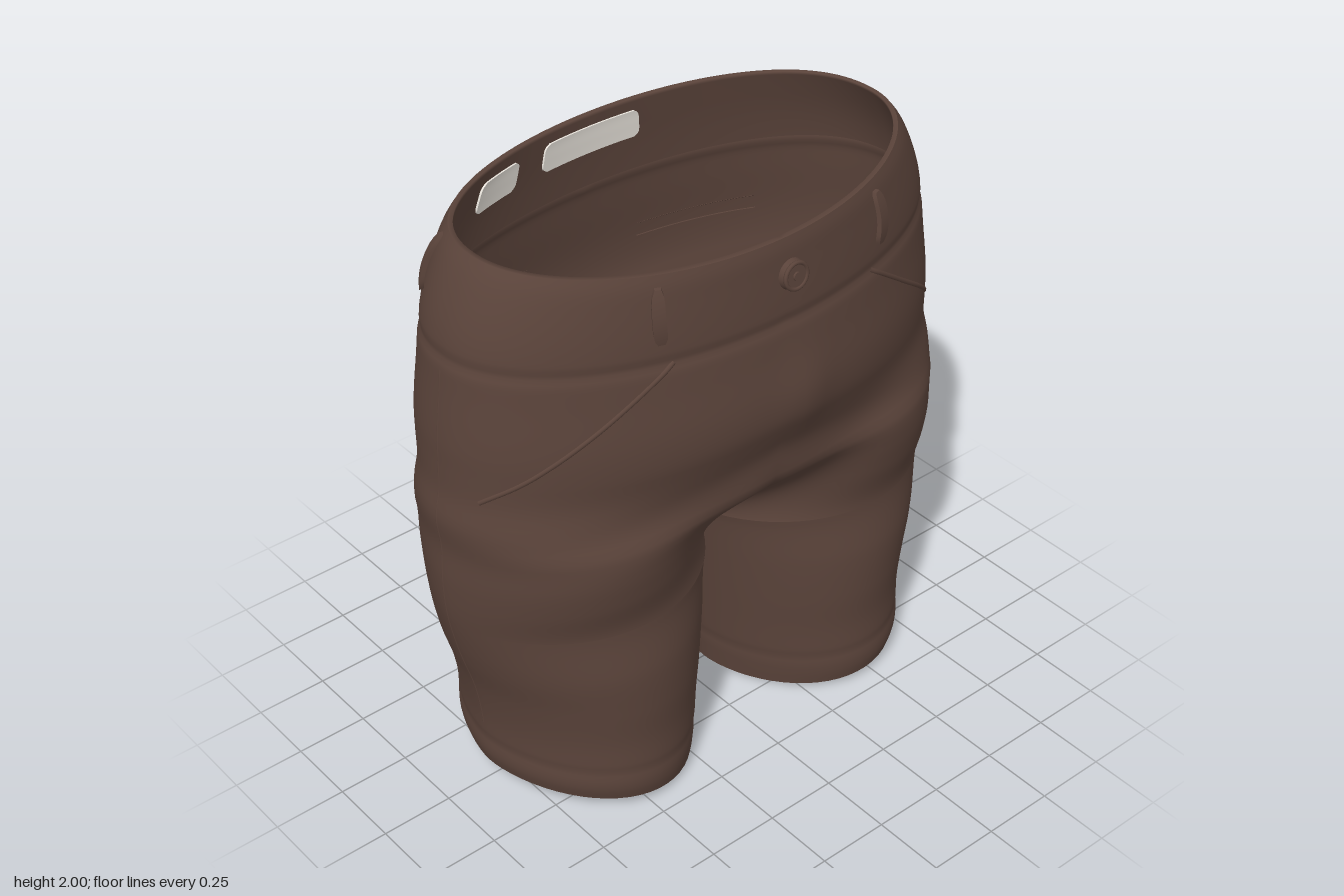
import * as THREE from 'three';
import { mergeVertices } from 'three/addons/utils/BufferGeometryUtils.js';

const cloth = new THREE.MeshStandardMaterial({ color: 0x5a433a, side: THREE.DoubleSide });
cloth.name = 'brown cloth';
const labelGrey = new THREE.MeshStandardMaterial({ color: 0xece7df, side: THREE.DoubleSide });
labelGrey.name = 'label grey';

const CROTCH = 0.74, HIP = 1.3;
const { lerp, clamp, smoothstep } = THREE.MathUtils;
const bell = (v, mid, width) => Math.exp(-(((v - mid) / width) ** 2));
const power = (v, e) => Math.sign(v) * Math.pow(Math.abs(v), e);

// Silhouette: height, half width, front depth, back depth
const rows = [
  [0, 0.83, 0.435, 0.435], [0.05, 0.842, 0.445, 0.45], [0.12, 0.842, 0.445, 0.45],
  [0.25, 0.848, 0.44, 0.447], [0.4, 0.87, 0.445, 0.465], [0.55, 0.908, 0.442, 0.48],
  [0.76, 0.952, 0.415, 0.45], [0.9, 0.96, 0.44, 0.45], [1.03, 0.955, 0.455, 0.454],
  [1.15, 0.966, 0.46, 0.47], [1.24, 0.95, 0.485, 0.492], [1.33, 0.945, 0.508, 0.515],
  [1.42, 0.942, 0.512, 0.52], [1.6, 0.922, 0.492, 0.503], [1.72, 0.908, 0.478, 0.492],
  [1.8, 0.89, 0.473, 0.485], [1.9, 0.85, 0.465, 0.475], [1.97, 0.81, 0.458, 0.465],
  [2, 0.785, 0.45, 0.453],
];
const profile = new THREE.CubicInterpolant(
  rows.map(r => r[0]), rows.flatMap(r => r.slice(1)), 3, new Float32Array(3));
const at = (y, i) => profile.evaluate(clamp(y, 0, 2))[i];

// How far a section point has merged from a separate leg (0) into whole hips (1);
// the middle merges in a tight curve, the outside gradually
function merged(a, y) {
  const p = clamp((y - CROTCH) / (HIP - CROTCH), 0, 1);
  const middle = Math.pow(1 - (1 - p) ** 2, 0.85);
  return lerp(middle, smoothstep(p, 0, 1), smoothstep(Math.min(a, 1 - a), 0, 0.24));
}

// Section depth, -1 to 1, before scaling
function depth(a, y) {
  const k = merged(a, y);
  const leg = power(Math.sin(2 * Math.PI * a), 1.18);
  const hips = power(Math.cos(Math.PI * a), a < 0.5 ? 0.97 : 0.88);
  return (1 - k) * leg + k * hips;
}

// Deepest point of the front (0) or back (1) half of a section
function deepest(y, back) {
  let max = 0;
  for (let i = 0; i <= 24; i++) max = Math.max(max, Math.abs(depth(Math.abs(back - i / 50), y)));
  return max;
}

// Surface point: a runs 0 (front middle) to 1 (back middle) round one side
function point(a, y, out, side) {
  const o = out - 0.008 * bell(y, 1.705, 0.018) - 0.004 * bell(y, 0.125, 0.016);
  const k = merged(a, y), X = at(y, 0) + o;
  const below = Math.max(0, CROTCH - y);
  const inner = 0.1 * Math.pow(below / CROTCH, 0.75) - o * Math.min(1, below * 4);
  const mid = (inner + X) / 2, half = (X - inner) / 2;
  const x = (1 - k) * (mid - half * Math.cos(2 * Math.PI * a)) + k * X * Math.sin(Math.PI * a);
  // Folds on the front drop towards the outside; the fly flap stands slightly proud
  const front = a < 0.5;
  const tilt = 0.2 * (x - 0.4) * bell(y, 1.05, 0.25);
  const fly = 0.016 * bell(side * x, 0.07, 0.09) * bell(y, 1.42, 0.16);
  const Z = (front ? at(y + tilt, 1) + fly : at(y, 2)) + o;
  const z = Z * depth(a, y) / deepest(y, front ? 0 : 1);
  // Slanted leg ends and a waist that dips at the front
  const rise = 0.07 * (x - 0.1) / 0.73 * Math.max(0, 1 - y / 0.6);
  const dip = 0.045 * (Math.max(0, z) / 0.45) ** 2 * clamp((y - 1.4) / 0.6, 0, 1);
  return new THREE.Vector3(side * x, y + rise - dip, z);
}

// Same surface with s from -1 to 1 all the way round
function around(s, y, out = 0) {
  if (s > 1) s -= 2;
  if (s < -1) s += 2;
  return point(Math.abs(s), y, out, s < 0 ? -1 : 1);
}

// Skin through rings of [height, offset], mirrored to both sides
function loft(name, levels, n = 64) {
  const pos = [], index = [];
  for (const side of [1, -1]) {
    const base = pos.length / 3;
    levels.forEach(([y, out], i) => {
      for (let j = 0; j <= n; j++) {
        pos.push(...point(j / n, y, out, side).toArray());
        if (!i || !j) continue;
        const d = base + i * (n + 1) + j, c = d - 1, b = d - n - 1, a = b - 1;
        if (side > 0) index.push(a, c, d, a, d, b);
        else index.push(a, d, c, a, b, d);
      }
    });
  }
  let geo = new THREE.BufferGeometry();
  geo.setAttribute('position', new THREE.Float32BufferAttribute(pos, 3));
  geo.setIndex(index);
  geo = mergeVertices(geo, 1e-4);
  geo.computeVertexNormals();
  return mesh(name, geo);
}

function mesh(name, geo, material = cloth) {
  const m = new THREE.Mesh(geo, material);
  m.name = name;
  return m;
}

// Bend a flat piece round the surface: x follows the waist, z points outwards
function wrap(name, geo, s0, y0, lift, material) {
  const arc = around(s0 - 0.01, y0).distanceTo(around(s0 + 0.01, y0)) / 0.02;
  const p = geo.attributes.position;
  for (let i = 0; i < p.count; i++) {
    const v = around(s0 + p.getX(i) / arc, y0 + p.getY(i), lift + p.getZ(i));
    p.setXYZ(i, v.x, v.y, v.z);
  }
  geo.computeVertexNormals();
  return mesh(name, geo, material);
}

// Strip with rounded ends, optionally bowed outwards and leaning sideways
function strip(w, h, d, { bow = 0, lean = 0, corner = 0.01 } = {}) {
  const geo = new THREE.BoxGeometry(w, h, d, 12, 10, 1), p = geo.attributes.position;
  for (let i = 0; i < p.count; i++) {
    const t = 2 * p.getY(i) / h;
    p.setX(i, p.getX(i) * (1 - 2 * corner / w * t ** 6) + lean * p.getY(i));
    p.setZ(i, p.getZ(i) + bow * (1 - t * t));
  }
  return geo;
}

// Raised stitch line along the surface, sunk in by half its radius
function seam(name, stops, radius) {
  const path = new THREE.CatmullRomCurve3(stops.map(([s, y]) => new THREE.Vector3(s, y, 0)));
  const pts = path.getPoints(32).map(v => around(v.x, v.y, -radius / 2));
  return mesh(name, new THREE.TubeGeometry(new THREE.CatmullRomCurve3(pts), 64, radius, 10));
}

export function createModel() {
  const model = new THREE.Group();
  model.name = 'shorts';

  // Main body: hips, crotch curve and both legs
  const levels = [];
  for (let i = 0; i < 47; i++) levels.push([2 - i * 0.015, 0]);
  for (let i = 0; i <= 30; i++)
    levels.push([CROTCH + (HIP - CROTCH) * (1 - Math.cos(Math.PI / 2 * (1 - i / 30))), 0]);
  for (let i = 1; i <= 40; i++) levels.push([CROTCH * (1 - i / 40), 0]);
  model.add(loft('body', levels));

  // Turned-in edges
  model.add(loft('waistFacing', [[2, 0], [2, -0.015], [1.99, -0.022], [1.9, -0.025], [1.8, -0.025], [1.73, -0.025]]));
  model.add(loft('hemFacing', [[0, 0], [0, -0.012], [0.01, -0.018], [0.06, -0.018], [0.13, -0.018]]));

  // Belt loops
  model.add(wrap('backBeltLoop', strip(0.042, 0.18, 0.014, { bow: 0.018 }), 1, 1.885, 0.006));
  for (const side of [1, -1]) {
    model.add(wrap('frontBeltLoop', strip(0.042, 0.18, 0.014, { bow: 0.012, lean: side * 0.2 }), side * 0.167, 1.875, 0.005));
    model.add(wrap('sideBeltLoop', strip(0.036, 0.16, 0.014, { bow: 0.012 }), side * 0.608, 1.9, 0.005));

    // Slanted front pockets, back welts and side seams
    model.add(seam('frontPocketSeam', [[side * 0.143, 1.7], [side * 0.24, 1.51], [side * 0.33, 1.36], [side * 0.41, 1.26]], 0.009));
    model.add(wrap('backPocketWelt', strip(0.46, 0.05, 0.004, { bow: 0.011, corner: 0.012 }), side * 0.84, 1.46, 0));
    model.add(seam('sideSeam', [[side * 0.5, 1.7], [side * 0.5, 0.95], [side * 0.5, 0.2]], 0.004));
  }

  // Waist button
  const button = new THREE.Group();
  button.name = 'button';
  const disc = mesh('buttonDisc', new THREE.CylinderGeometry(0.045, 0.05, 0.024, 32));
  const stud = mesh('buttonStud', new THREE.CylinderGeometry(0.014, 0.016, 0.02, 16));
  disc.rotation.x = stud.rotation.x = Math.PI / 2;
  stud.position.z = 0.008;
  const rim = mesh('buttonRim', new THREE.TorusGeometry(0.042, 0.007, 8, 32));
  rim.position.z = 0.01;
  button.add(disc, stud, rim);
  button.position.set(0.02, 1.84, 0.484);
  button.rotation.x = -0.1;
  model.add(button);

  // Labels inside the back of the waistband
  model.add(wrap('wideLabel', strip(0.4, 0.1, 0.006, { corner: 0.02 }), -0.997, 1.908, -0.032, labelGrey));
  model.add(wrap('smallLabel', strip(0.2, 0.1, 0.006, { corner: 0.02 }), -0.832, 1.905, -0.032, labelGrey));

  return model;
}
